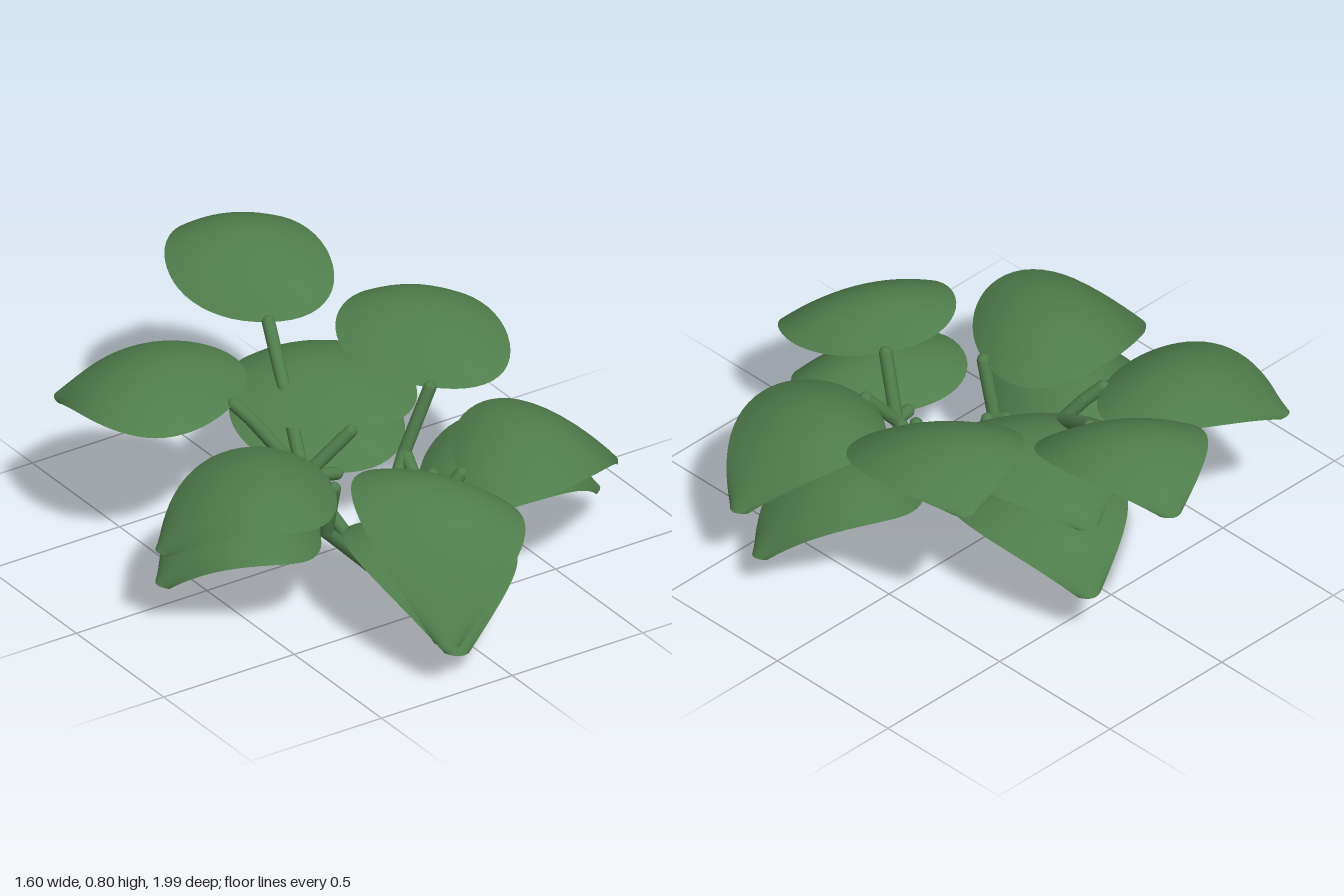
import * as THREE from 'three';

const leafGreen = new THREE.MeshStandardMaterial({ color: 0x4f7d4b, side: THREE.DoubleSide });
leafGreen.name = 'leafGreen';

const CROWN = [0, 0.022, 0.18];

// Ends of the four main arms that rise from the crown
const ARMS = {
  back: [-0.11, 0.28, -0.03],
  right: [-0.19, 0.22, 0.22],
  left: [0.21, 0.32, 0.07],
  front: [0.09, 0.27, 0.38],
};

// base, tip, peak height of the midrib, half width, roll (height gained by one edge),
// the arm that carries the leaf and optional bends of its stem
const LEAVES = [
  // upper tier
  { base: [0.01, 0.63, -0.41], tip: [0.2, 0.68, -0.99], peak: 0.81, half: 0.26, roll: 0, arm: 'back', bends: [[-0.06, 0.51, -0.22]] },
  { base: [-0.27, 0.52, -0.19], tip: [-0.65, 0.46, -0.65], peak: 0.615, half: 0.275, roll: 0.025, arm: 'back', bends: [[-0.23, 0.47, -0.15]] },
  { base: [0.3, 0.53, 0.08], tip: [0.57, 0.58, -0.43], peak: 0.68, half: 0.275, roll: -0.02, arm: 'left', bends: [] },
  // middle tier
  { base: [0.2, 0.4, 0.41], tip: [0.8, 0.27, 0.4], peak: 0.505, half: 0.265, roll: -0.03, arm: 'front', bends: [] },
  { base: [-0.2, 0.41, 0.28], tip: [-0.8, 0.31, 0.16], peak: 0.53, half: 0.29, roll: 0, arm: 'right', bends: [] },
  { base: [0.05, 0.47, 0.47], tip: [-0.24, 0.17, 0.99], peak: 0.55, half: 0.275, roll: 0.05, arm: 'front', bends: [] },
  { base: [0.03, 0.43, 0.03], tip: [0.17, 0.4, -0.59], peak: 0.55, half: 0.285, roll: 0, arm: 'back', bends: [] },
  // lower tier
  { base: [0.2, 0.23, 0.17], tip: [0.79, 0.13, 0.32], peak: 0.365, half: 0.26, roll: -0.03, arm: 'left', bends: [] },
  { base: [-0.2, 0.23, 0.18], tip: [-0.76, 0.15, 0.1], peak: 0.37, half: 0.285, roll: 0, arm: 'right', bends: [] },
  { base: [0.03, 0.27, 0.39], tip: [-0.15, 0.08, 0.92], peak: 0.37, half: 0.27, roll: 0.03, arm: 'front', bends: [] },
  { base: [0.03, 0.24, -0.05], tip: [0.23, 0.19, -0.65], peak: 0.395, half: 0.27, roll: 0, arm: 'back', bends: [] },
];

// Outline: round at the stem, tapering to a blunt tip
function outline(u) {
  if (u < 0.38) return Math.max(0, 1 - ((0.38 - u) / 0.38) ** 2.2) ** 0.47;
  return 1 - 0.85 * ((u - 0.38) / 0.62) ** 1.95;
}

// Arched blade with drooping edges, swept along its midrib
function bladeGeometry({ base, tip, peak, half, roll }) {
  const a = new THREE.Vector3(...base), b = new THREE.Vector3(...tip);
  const dir = new THREE.Vector3().subVectors(b, a).setY(0).normalize();
  const side = new THREE.Vector3(-dir.z, 0, dir.x);
  const rise = peak - (a.y + b.y) / 2 - Math.abs(a.y - b.y) * 0.12;
  const rows = 28, cols = 14, positions = [], index = [];
  for (let i = 0; i <= rows; i++) {
    const u = 0.5 - 0.5 * Math.cos((Math.PI * i) / rows);
    const w = outline(u);
    for (let j = 0; j <= cols; j++) {
      const v = (j / cols) * 2 - 1;
      const p = new THREE.Vector3().lerpVectors(a, b, u);
      p.addScaledVector(side, v * w * half);
      // one shoulder sits nearer the stem, and the tip comes to a small point
      p.addScaledVector(dir, -0.06 * v * w * (1 - u) - 0.025 * v * v * u ** 6);
      p.y += 4 * u * (1 - u) * rise - 0.07 * (v * w) ** 2 + roll * v * w;
      positions.push(p.x, p.y, p.z);
    }
  }
  const n = cols + 1;
  for (let i = 0; i < rows; i++) {
    for (let j = 0; j < cols; j++) {
      const k = i * n + j;
      if (i > 0) index.push(k, k + 1, k + n);
      index.push(k + 1, k + n + 1, k + n);
    }
  }
  const g = new THREE.BufferGeometry();
  g.setAttribute('position', new THREE.Float32BufferAttribute(positions, 3));
  g.setIndex(index);
  g.computeVertexNormals();
  return g;
}

// Straight runs of stem with a round joint at the end of each
function addStem(name, points, parent) {
  const stem = new THREE.Group();
  stem.name = name;
  const pts = points.map((p) => new THREE.Vector3(...p));
  for (let i = 1; i < pts.length; i++) {
    const run = new THREE.LineCurve3(pts[i - 1], pts[i]);
    add('stemRun', new THREE.TubeGeometry(run, 1, 0.022, 10), stem);
    add('stemJoint', new THREE.SphereGeometry(0.022, 10, 8), stem).position.copy(pts[i]);
  }
  parent.add(stem);
}

function add(name, geometry, parent) {
  const mesh = new THREE.Mesh(geometry, leafGreen);
  mesh.name = name;
  parent.add(mesh);
  return mesh;
}

export function createModel() {
  const model = new THREE.Group();
  model.name = 'leafyPlant';

  // Crown and main arms
  add('crown', new THREE.SphereGeometry(0.022, 12, 8), model).position.set(...CROWN);
  for (const [name, end] of Object.entries(ARMS)) addStem(`${name}Arm`, [CROWN, end], model);

  // Leaves, each on a branch from its arm
  LEAVES.forEach((spec, i) => {
    const leaf = new THREE.Group();
    leaf.name = `leaf${i + 1}`;
    add('blade', bladeGeometry(spec), leaf);
    addStem('branch', [ARMS[spec.arm], ...spec.bends, spec.base], leaf);
    model.add(leaf);
  });
  return model;
}
